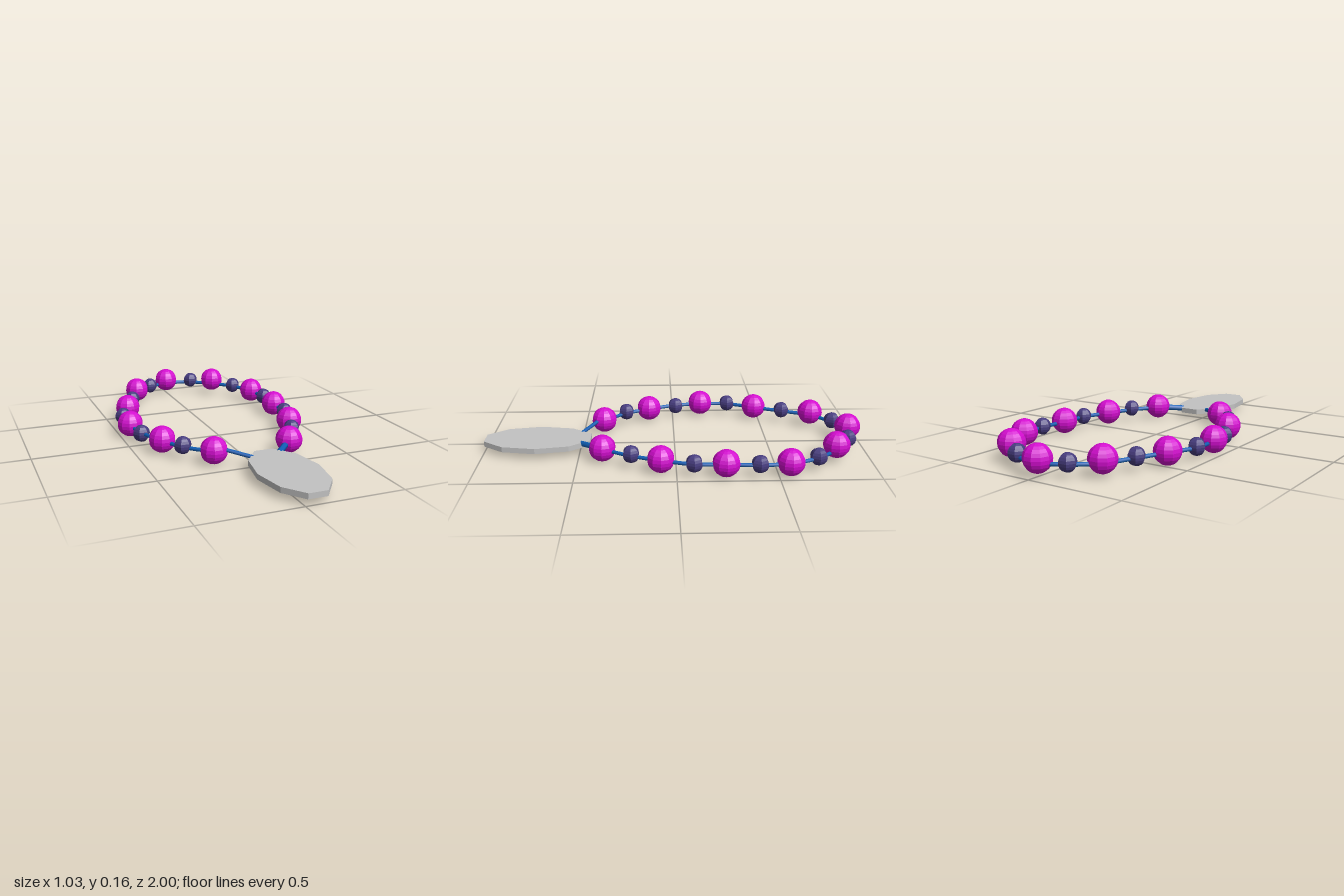
import * as THREE from 'three';

const mat = (name, color, extra = {}) =>
  Object.assign(new THREE.MeshStandardMaterial({ color, ...extra }), { name });

export function createModel() {
  const model = new THREE.Group();
  const magenta = mat('magenta bead', 0xd40dd0, { flatShading: true });
  const indigo = mat('indigo bead', 0x483d80, { flatShading: true });
  const blue = mat('blue cord', 0x1060b8);
  const silver = mat('silver tag', 0xc2c2c2, { flatShading: true });

  const add = (name, geometry, material, x = 0, y = 0, z = 0) => {
    const mesh = new THREE.Mesh(geometry, material);
    mesh.name = name;
    mesh.position.set(x, y, z);
    model.add(mesh);
    return mesh;
  };

  // Bead centres in order round the loop: large and small alternate
  const beads = [
    [0.235, 0.07, 0.373], [0.323, 0.072, 0.225],
    [0.383, 0.07, 0.077], [0.434, 0.067, -0.085],
    [0.441, 0.07, -0.241], [0.452, 0.068, -0.405],
    [0.437, 0.07, -0.558], [0.373, 0.07, -0.706],
    [0.272, 0.091, -0.817], [0.156, 0.078, -0.902],
    [0, 0.085, -0.937], [-0.124, 0.072, -0.881],
    [-0.238, 0.083, -0.78], [-0.31, 0.07, -0.627],
    [-0.378, 0.071, -0.474], [-0.444, 0.068, -0.323],
    [-0.447, 0.072, -0.164], [-0.426, 0.06, -0.018],
    [-0.362, 0.07, 0.138], [-0.296, 0.072, 0.267],
    [-0.177, 0.07, 0.386],
  ];
  const large = new THREE.SphereGeometry(0.069, 10, 12);
  const small = new THREE.SphereGeometry(0.045, 6, 10);
  beads.forEach((p, i) => (i % 2 === 0
    ? add('largeBead', large, magenta, ...p)
    : add('smallBead', small, indigo, ...p)));

  // Cord threaded through all the beads
  const path = new THREE.CatmullRomCurve3(
    beads.map(([x, , z]) => new THREE.Vector3(x, 0.062, z)));
  add('cord', new THREE.TubeGeometry(path, 120, 0.0105, 6), blue);

  // Cord ends that run down to the tag, the right one thicker
  const cordEnd = (name, from, to, radius) => add(name, new THREE.TubeGeometry(
    new THREE.LineCurve3(new THREE.Vector3(...from), new THREE.Vector3(...to)),
    1, radius, 6), blue);
  cordEnd('rightCordEnd', [-0.177, 0.088, 0.386], [-0.02, 0.052, 0.5], 0.0105);
  cordEnd('leftCordEnd', [0.235, 0.065, 0.373], [0.125, 0.05, 0.487], 0.016);

  // Flat ten-sided oval tag
  const tag = add('tag',
    new THREE.CylinderGeometry(1, 1, 0.028, 10, 1, false, Math.PI / 2),
    silver, 0.06, 0.046, 0.722);
  tag.scale.set(0.158, 1, 0.292);

  return model;
}
